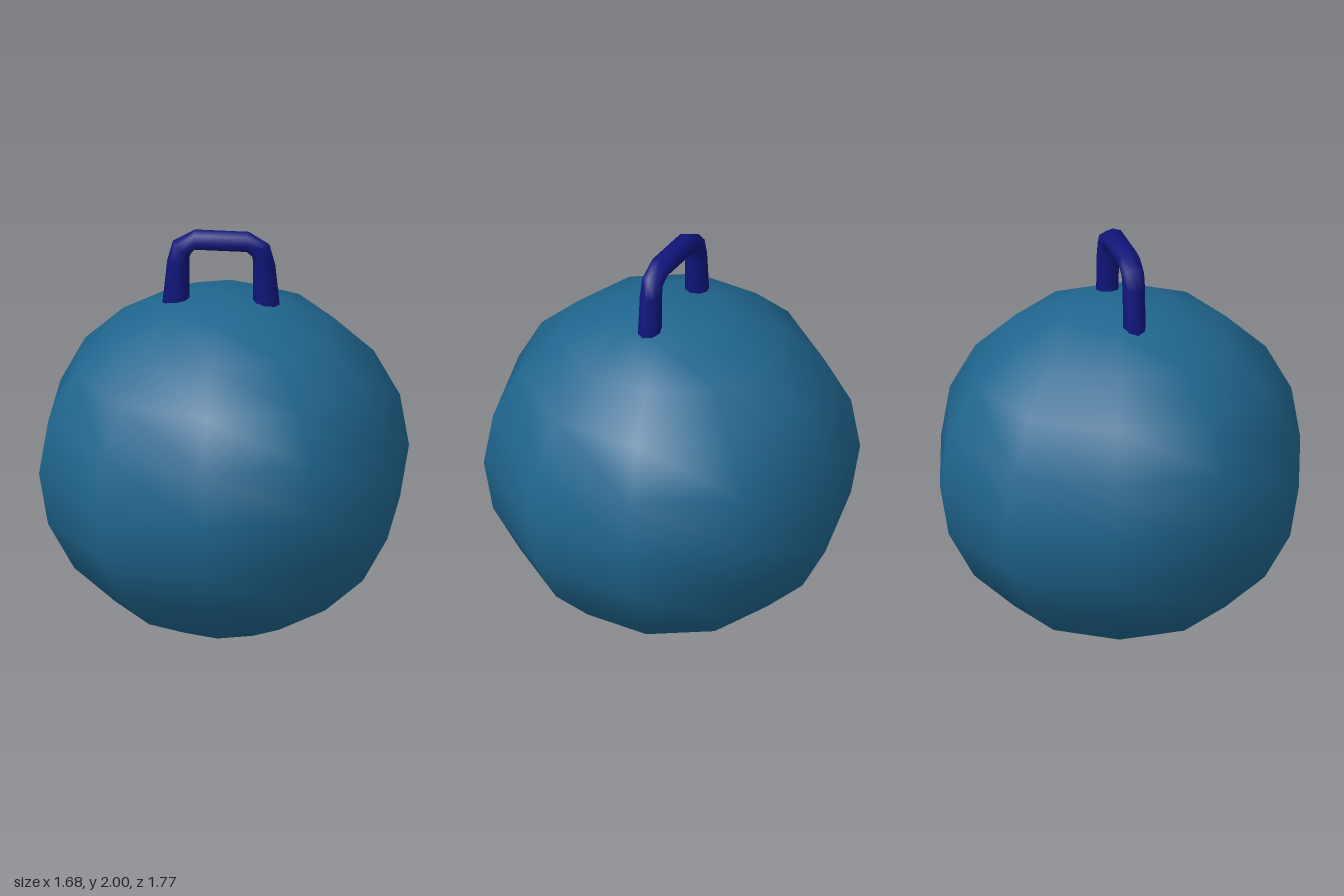
import * as THREE from 'three';

const SIDES = 8;

// Lofts rings between matching outer and inner outline points lying in the z = 0 plane
function loftHandle(outer, inner, halfDepth) {
  const positions = [], index = [];
  outer.forEach(([ox, oy], i) => {
    const [ix, iy] = inner[i];
    const mx = (ox + ix) / 2, my = (oy + iy) / 2;
    for (let j = 0; j < SIDES; j++) {
      const a = (j / SIDES) * Math.PI * 2, c = Math.cos(a);
      positions.push(mx + (ox - mx) * c, my + (oy - my) * c, halfDepth * Math.sin(a));
    }
  });
  for (let i = 0; i < outer.length - 1; i++) {
    for (let j = 0; j < SIDES; j++) {
      const k = (j + 1) % SIDES;
      const a = i * SIDES + j, b = i * SIDES + k;
      index.push(a, b, a + SIDES, b, b + SIDES, a + SIDES);
    }
  }
  const geometry = new THREE.BufferGeometry();
  geometry.setAttribute('position', new THREE.Float32BufferAttribute(positions, 3));
  geometry.setIndex(index);
  geometry.computeVertexNormals();
  return geometry;
}

export function createModel() {
  const model = new THREE.Group();
  model.name = 'hopperBall';

  // Ball: ten-sided, slightly squashed, with a corner facing front and back
  const ballGeometry = new THREE.SphereGeometry(1, 10, 10);
  ballGeometry.rotateY(Math.PI / 2);
  ballGeometry.scale(0.885, 0.839, 0.885);
  const ball = new THREE.Mesh(ballGeometry, new THREE.MeshStandardMaterial({ color: 0x20668f }));
  ball.name = 'ball';
  ball.position.y = 0.842;
  model.add(ball);

  // Handle: one bent bar with flared feet sunk into the ball
  const centreX = -0.013;
  const outerHalf = [[0.28, 1.6], [0.255, 1.84], [0.228, 1.94], [0.125, 2.0]];
  const innerHalf = [[0.15, 1.6], [0.15, 1.84], [0.148, 1.872], [0.125, 1.9]];
  const mirrored = (half) => [
    ...half.map(([x, y]) => [centreX - x, y]),
    ...half.slice().reverse().map(([x, y]) => [centreX + x, y]),
  ];
  const handle = new THREE.Mesh(
    loftHandle(mirrored(outerHalf), mirrored(innerHalf), 0.055),
    new THREE.MeshStandardMaterial({ color: 0x10157a, side: THREE.DoubleSide })
  );
  handle.name = 'handle';
  model.add(handle);

  return model;
}
